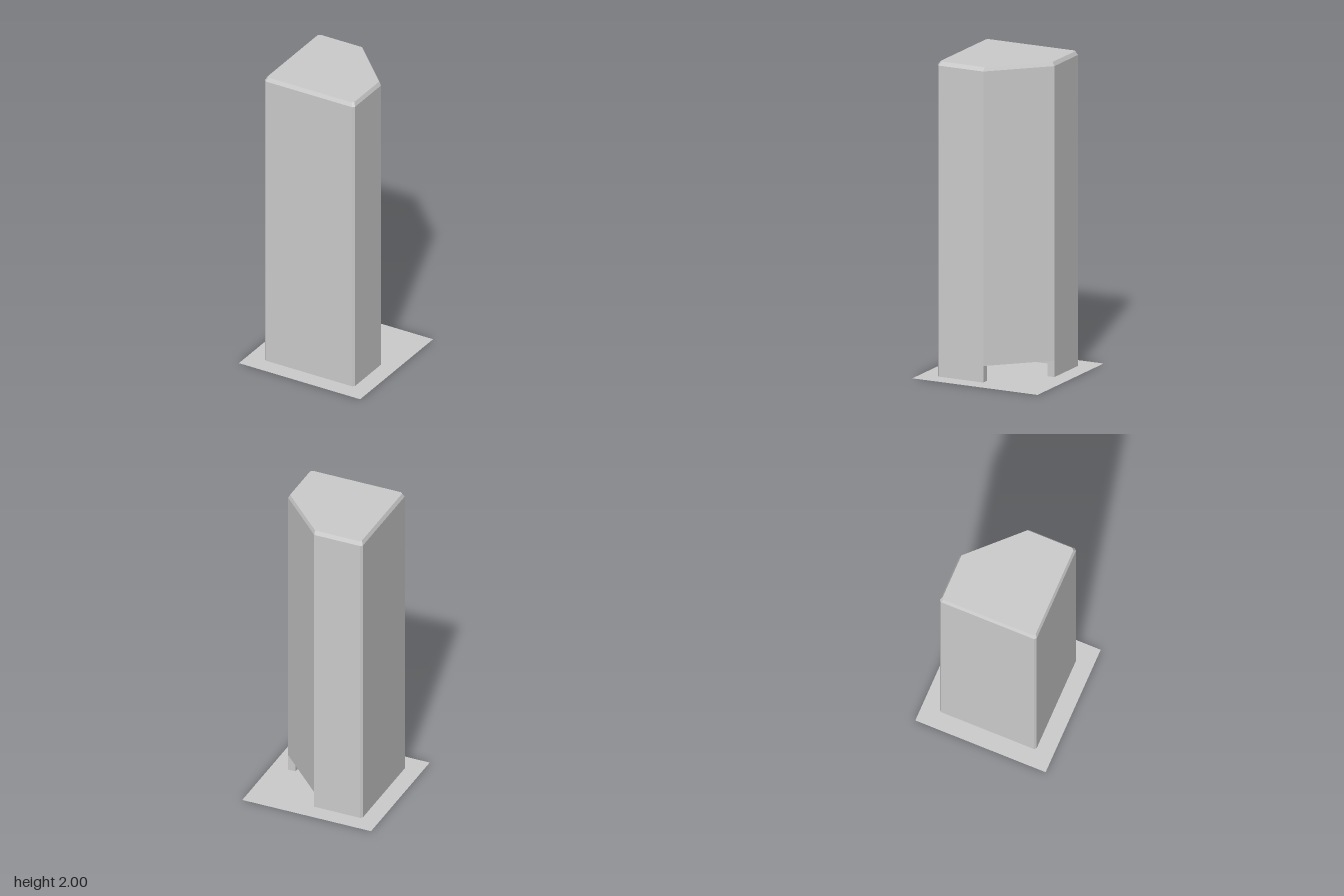
import * as THREE from 'three';
import { ConvexGeometry } from 'three/addons/geometries/ConvexGeometry.js';

const HALF = 0.323;    // half width of the column
const BEVEL = 0.0125;  // width of the edge bevels
const DROP = 0.025;    // height of the top bevel
const HEIGHT = 2;
const KICK = 0.105;    // height of the open recess under the diagonal face
const WALL = 0.05;     // thickness of the base walls

// Square outline [x, z] with three bevelled corners and one corner cut diagonally
function outline(s) {
  const c = s - BEVEL;
  return [
    [s, 0], [s, c], [c, s], [-c, s], [-s, c], [-s, -c], [-c, -s], [0, -s],
  ];
}

export function createModel() {
  const group = new THREE.Group();
  const grey = new THREE.MeshStandardMaterial({ color: 0xcccccc, flatShading: true });

  const add = (name, geometry, material = grey) => {
    const mesh = new THREE.Mesh(geometry, material);
    mesh.name = name;
    group.add(mesh);
    return mesh;
  };

  // Column body: straight sides and a bevelled top rim
  const ring = (s, y) => outline(s).map(([x, z]) => new THREE.Vector3(x, y, z));
  add('columnBody', new ConvexGeometry([
    ...ring(HALF, KICK),
    ...ring(HALF, HEIGHT - DROP),
    ...ring(HALF - BEVEL, HEIGHT),
  ]));

  // Base walls: thin surround, open below the diagonal face
  const i = HALF - WALL;
  const inner = [[0, -i], [-i, -i], [-i, i], [i, i], [i, 0]];
  const wallShape = new THREE.Shape(
    [...outline(HALF), ...inner].map(([x, z]) => new THREE.Vector2(x, z)),
  );
  const walls = new THREE.ExtrudeGeometry(wallShape, { depth: KICK, bevelEnabled: false });
  walls.rotateX(Math.PI / 2).translate(0, KICK, 0);
  add('baseWalls', walls);

  // Flat floor sheet under the column
  const sheet = new THREE.PlaneGeometry(0.87, 0.87).rotateX(-Math.PI / 2);
  add('floorSheet', sheet, new THREE.MeshStandardMaterial({
    color: 0xcccccc, side: THREE.DoubleSide,
  }));

  return group;
}
